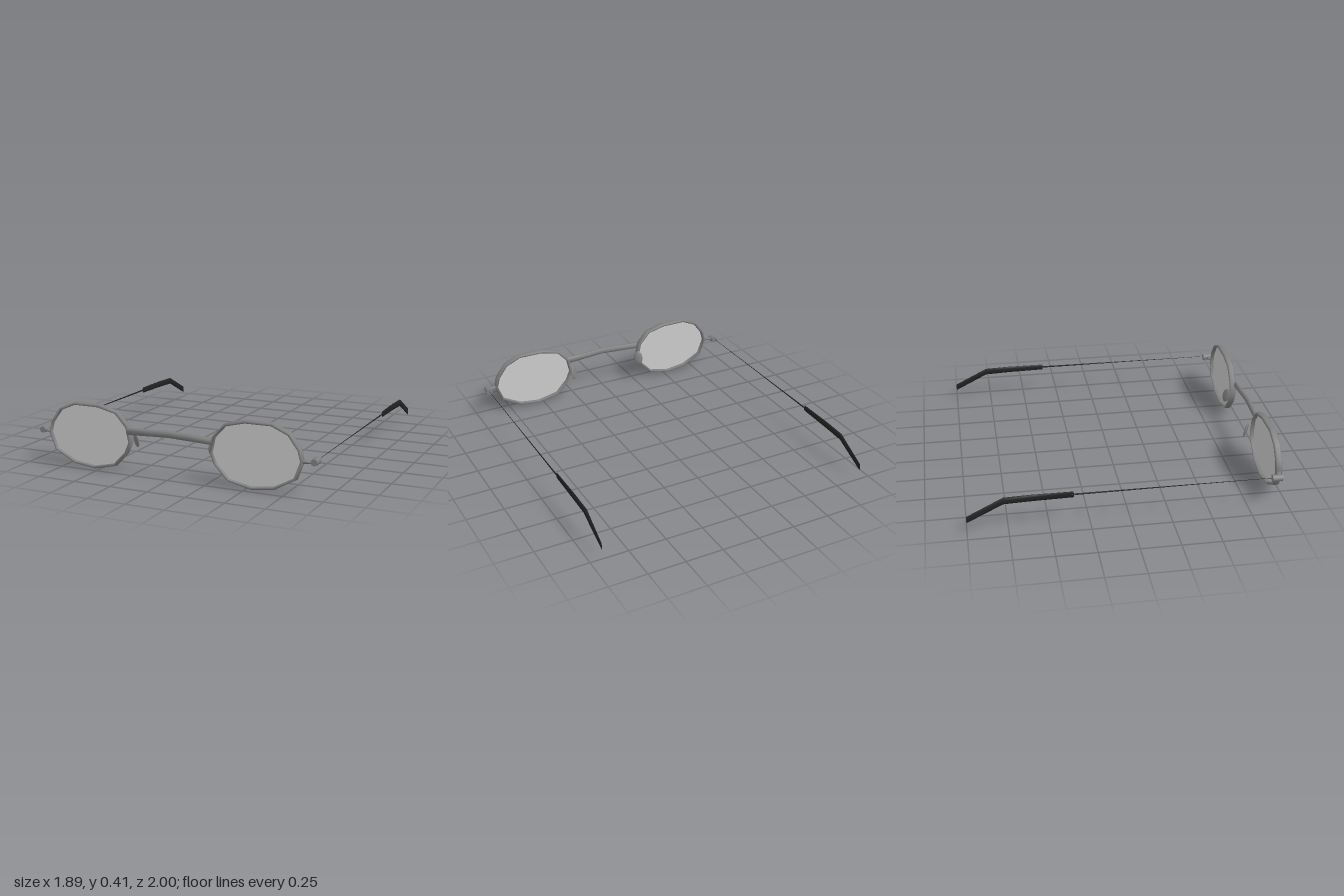
import * as THREE from 'three';

const mat = (color) => new THREE.MeshStandardMaterial({ color, side: THREE.DoubleSide });

// Loft elliptical rings [x, y, z, radiusA, radiusB] along the main axis 'x' or 'z', with closed ends.
// radiusA lies along z (axis 'x') or x (axis 'z'); radiusB always lies along y.
function loft(sections, axis, sides = 8) {
  const pos = [], idx = [];
  for (const [x, y, z, ra, rb] of sections) {
    for (let i = 0; i < sides; i++) {
      const t = ((i + 0.5) / sides) * Math.PI * 2;
      const a = Math.cos(t) * ra, b = Math.sin(t) * rb;
      pos.push(axis === 'x' ? x : x + a, y + b, axis === 'x' ? z + a : z);
    }
  }
  const last = (sections.length - 1) * sides;
  for (let s = 0; s < last; s += sides) {
    for (let i = 0; i < sides; i++) {
      const j = (i + 1) % sides;
      idx.push(s + i, s + sides + i, s + j, s + j, s + sides + i, s + sides + j);
    }
  }
  for (let i = 1; i < sides - 1; i++) idx.push(0, i, i + 1, last, last + i + 1, last + i);
  // Both axes run so that this winding faces outward (x ascending, z descending)
  const g = new THREE.BufferGeometry();
  g.setAttribute('position', new THREE.Float32BufferAttribute(pos, 3));
  g.setIndex(idx);
  g.computeVertexNormals();
  return g;
}

// Faceted oval lens outline for the +x side, counter-clockwise
const outline = [
  [0.67, 0.42], [0.78, 0.37], [0.845, 0.28], [0.862, 0.21], [0.82, 0.1], [0.685, 0.025], [0.535, 0.005],
  [0.38, 0.04], [0.295, 0.13], [0.265, 0.2], [0.285, 0.3], [0.36, 0.385], [0.49, 0.42],
].reverse().map(([x, y]) => new THREE.Vector2(x, y));
const centre = new THREE.Vector2(0.565, 0.213);
const inset = (d) => outline.map((p) => {
  const v = p.clone().sub(centre);
  return v.setLength(v.length() - d).add(centre);
});

// Rim band: a rounded cross-section [inset, z] swept round the outline
function rimGeometry() {
  const profile = [[0.018, 0.928], [0.006, 0.926], [0, 0.936], [0, 0.96], [0.006, 0.97], [0.018, 0.968]];
  const rings = profile.map(([d, z]) => inset(d).map((p) => [p.x, p.y, z]));
  const n = outline.length, m = rings.length, idx = [];
  for (let r = 0; r < m; r++) {
    for (let i = 0; i < n; i++) {
      const a = r * n + i, b = r * n + (i + 1) % n;
      const c = ((r + 1) % m) * n + i, d = ((r + 1) % m) * n + (i + 1) % n;
      idx.push(a, b, c, b, d, c);
    }
  }
  const g = new THREE.BufferGeometry();
  g.setAttribute('position', new THREE.Float32BufferAttribute(rings.flat(2), 3));
  g.setIndex(idx);
  g.computeVertexNormals();
  return g;
}

export function createModel() {
  const model = new THREE.Group();
  model.name = 'eyeglasses';
  const metal = mat(0x808080), glass = mat(0xcccccc), rubber = mat(0x222222);

  const add = (parent, name, geometry, material) => {
    const mesh = new THREE.Mesh(geometry, material);
    mesh.name = name;
    parent.add(mesh);
    return mesh;
  };

  // Bridge bowed up and forward between the lenses
  add(model, 'bridge', loft([
    [-0.285, 0.275, 0.973, 0.016, 0.023], [-0.13, 0.282, 0.977, 0.016, 0.022], [0, 0.289, 0.982, 0.018, 0.022],
    [0.13, 0.282, 0.977, 0.016, 0.022], [0.285, 0.275, 0.973, 0.016, 0.023],
  ], 'x'), metal);

  // One half of the frame, built on +x and mirrored for -x
  for (const side of [1, -1]) {
    const half = new THREE.Group();
    half.name = side > 0 ? 'leftHalf' : 'rightHalf';
    half.scale.x = side;
    model.add(half);

    add(half, 'rim', rimGeometry(), metal);
    add(half, 'lens', new THREE.ShapeGeometry(new THREE.Shape(inset(0.008))), glass).position.z = 0.95;

    // Hinge: flared stub from the rim and a faceted knob
    add(half, 'hingeStub', loft([
      [0.85, 0.21, 0.95, 0.018, 0.012], [0.89, 0.21, 0.935, 0.015, 0.009], [0.915, 0.212, 0.92, 0.026, 0.018],
    ], 'x'), metal);
    const knob = add(half, 'hingeKnob', new THREE.CylinderGeometry(0.021, 0.023, 0.065, 8), metal);
    knob.position.set(0.922, 0.213, 0.918);
    knob.rotation.x = Math.PI / 2;

    // Nose pad: flattened pebble leaning behind the inner rim
    const pad = add(half, 'nosePad', new THREE.SphereGeometry(1, 10, 8), metal);
    pad.scale.set(0.032, 0.05, 0.009);
    pad.position.set(0.265, 0.205, 0.9);
    pad.rotation.set(0.25, 0.58, 0);

    // Temple wire thinning towards the hinge
    add(half, 'templeWire', loft([
      [0.925, 0.217, 0.89, 0.0012, 0.0012], [0.925, 0.217, 0.3, 0.002, 0.003], [0.925, 0.216, -0.37, 0.004, 0.006],
    ], 'z', 6), rubber);

    // Temple tip: flat sleeve bent down behind the ear
    add(half, 'templeTip', loft([
      [0.925, 0.216, -0.35, 0.003, 0.021], [0.924, 0.214, -0.6, 0.01, 0.022],
      [0.923, 0.208, -0.775, 0.012, 0.022], [0.923, 0.095, -1, 0.001, 0.024],
    ], 'z'), rubber);
  }
  return model;
}
